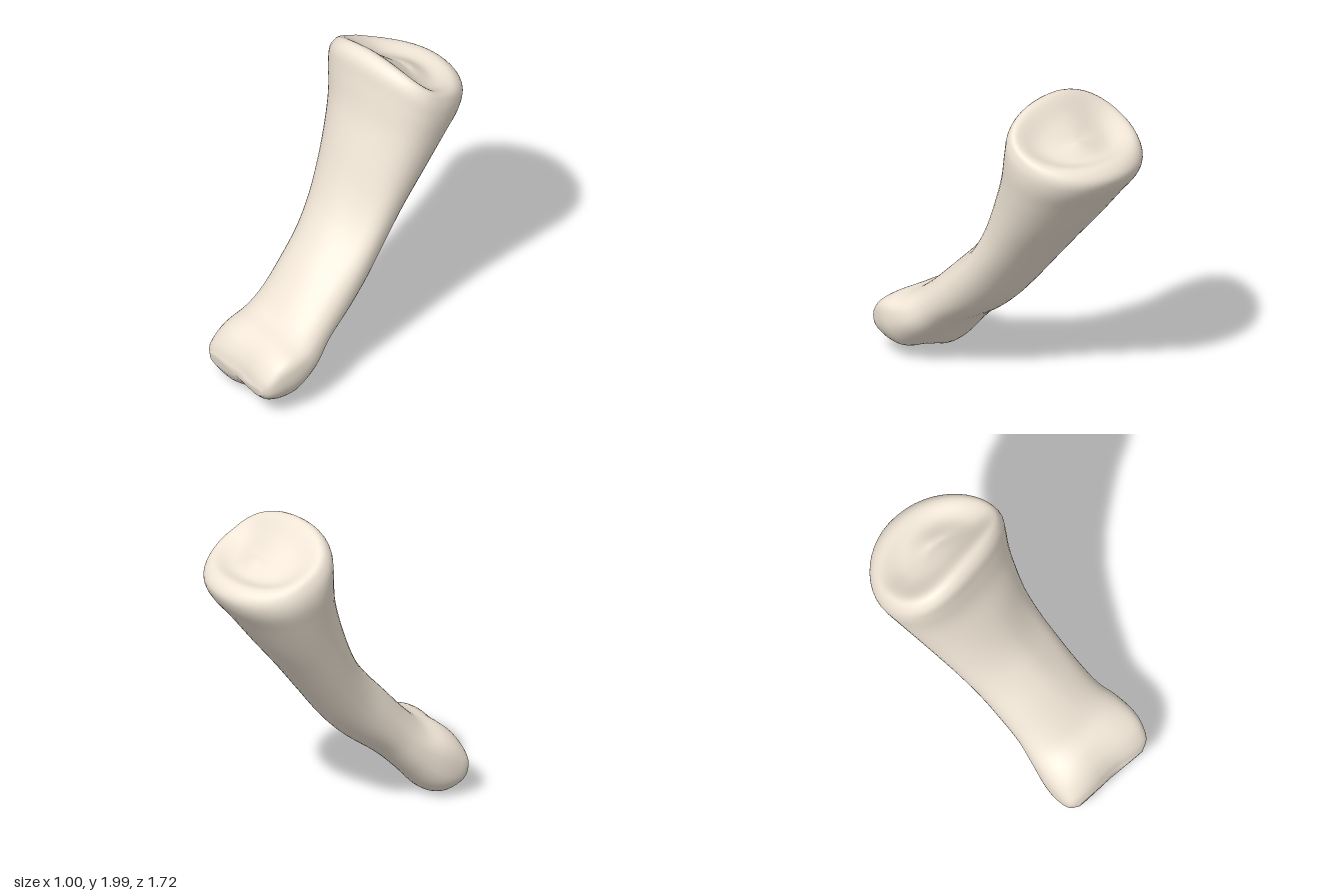
import * as THREE from 'three';

// Cross-sections from the dished joint surface down to the knuckle:
// [xMin, xMax, frontY, frontZ, backY, backZ]
const SECTIONS = [
  [-0.08, 0.02, 1.79, -0.51, 1.775, -0.56],
  [-0.27, 0.20, 1.88, -0.40, 1.71, -0.67],
  [-0.43, 0.35, 1.985, -0.29, 1.715, -0.79],
  [-0.49, 0.395, 1.94, -0.21, 1.645, -0.855],
  [-0.50, 0.40, 1.80, -0.18, 1.55, -0.82],
  [-0.46, 0.38, 1.60, -0.14, 1.41, -0.70],
  [-0.40, 0.36, 1.40, -0.07, 1.20, -0.53],
  [-0.33, 0.35, 1.17, 0.02, 1.00, -0.36],
  [-0.27, 0.36, 1.00, 0.11, 0.80, -0.20],
  [-0.22, 0.38, 0.86, 0.22, 0.60, -0.04],
  [-0.19, 0.40, 0.71, 0.36, 0.455, 0.10],
  [-0.17, 0.43, 0.56, 0.50, 0.31, 0.28],
  [-0.175, 0.48, 0.475, 0.60, 0.165, 0.43],
  [-0.185, 0.50, 0.43, 0.715, 0.03, 0.57],
  [-0.18, 0.49, 0.37, 0.795, -0.01, 0.68],
  [-0.16, 0.46, 0.29, 0.845, 0.035, 0.79],
  [-0.11, 0.40, 0.21, 0.865, 0.11, 0.845],
];
const RINGS = 80, SIDES = 48;

const smooth = THREE.MathUtils.smoothstep;
const bump = (x, c, w) => Math.exp(-(((x - c) / w) ** 2));
const power = (v, e) => Math.sign(v) * Math.abs(v) ** e;

function buildBone() {
  const front = new THREE.CatmullRomCurve3(SECTIONS.map(s => new THREE.Vector3(s[0], s[2], s[3])), false, 'catmullrom', 0.5);
  const back = new THREE.CatmullRomCurve3(SECTIONS.map(s => new THREE.Vector3(s[1], s[4], s[5])), false, 'catmullrom', 0.5);
  const pos = [], index = [];

  for (let i = 0; i <= RINGS; i++) {
    const t = i / RINGS, u = t * (SECTIONS.length - 1);
    const f = front.getPoint(t), b = back.getPoint(t);
    const base = smooth(u, -0.5, 2) * (1 - smooth(u, 3, 6.5)); // wide upper end
    const shaft = bump(u, 8.3, 2);
    // Two-lobed lower end, fading as the tip closes
    const knuckle = smooth(u, 10.5, 14);
    const lobes = knuckle * Math.min(1, (f.y - b.y) / 0.38);
    const e = 2 / (2.15 + 0.6 * knuckle);
    for (let j = 0; j < SIDES; j++) {
      const a = (j / SIDES) * Math.PI * 2;
      const c = power(Math.cos(a), e);
      let s = power(Math.sin(a), e);
      // Front of the shaft falls away towards +x
      if (s > 0) s *= 1 - 0.22 * shaft * smooth(c, 0, 0.8);
      const x = (f.x + b.x) / 2 + c * (b.x - f.x) / 2;
      let y = (f.y + b.y) / 2 + s * (f.y - b.y) / 2;
      let z = (f.z + b.z) / 2 + s * (f.z - b.z) / 2;
      // Rim sags at the sides, its front edge runs obliquely
      y -= base * c * c * (c < 0 ? 0.07 : 0.025);
      z += base * (0.06 * c * c - Math.max(s, 0) * 0.13 * x);
      // Groove between the lobes, the +x lobe sitting higher
      const under = Math.max(-s, 0), groove = bump(x, 0.18, 0.13);
      y += lobes * under * (0.06 * smooth(x, 0.02, 0.3) + 0.015 * groove);
      y += lobes * 0.08 * Math.max(c, 0) ** 4;
      z -= knuckle * 0.025 * groove;
      // Shallow hollow under the neck
      const neck = 0.02 * bump(u, 11.8, 1.3) * under * bump(x, 0.18, 0.16);
      y += neck;
      z += neck;
      pos.push(x, y, z);
    }
  }

  for (let i = 0; i < RINGS; i++) {
    for (let j = 0; j < SIDES; j++) {
      const k = (j + 1) % SIDES, r = i * SIDES, n = r + SIDES;
      index.push(r + j, r + k, n + j, r + k, n + k, n + j);
    }
  }

  // Close both ends with a fan around the ring centre
  for (const [ring, top] of [[0, true], [RINGS, false]]) {
    const start = ring * SIDES, centre = pos.length / 3, mid = [0, 0, 0];
    for (let j = 0; j < SIDES; j++) {
      for (let d = 0; d < 3; d++) mid[d] += pos[(start + j) * 3 + d] / SIDES;
    }
    pos.push(...mid);
    for (let j = 0; j < SIDES; j++) {
      const p = start + j, q = start + (j + 1) % SIDES;
      if (top) index.push(centre, q, p);
      else index.push(centre, p, q);
    }
  }

  const geometry = new THREE.BufferGeometry();
  geometry.setAttribute('position', new THREE.Float32BufferAttribute(pos, 3));
  geometry.setIndex(index);
  geometry.computeVertexNormals();
  return geometry;
}

export function createModel() {
  const group = new THREE.Group();
  group.name = 'fingerBone';
  const bone = new THREE.Mesh(buildBone(), new THREE.MeshStandardMaterial({ color: 0xf0e5d6 }));
  bone.name = 'bone';
  group.add(bone);
  return group;
}
